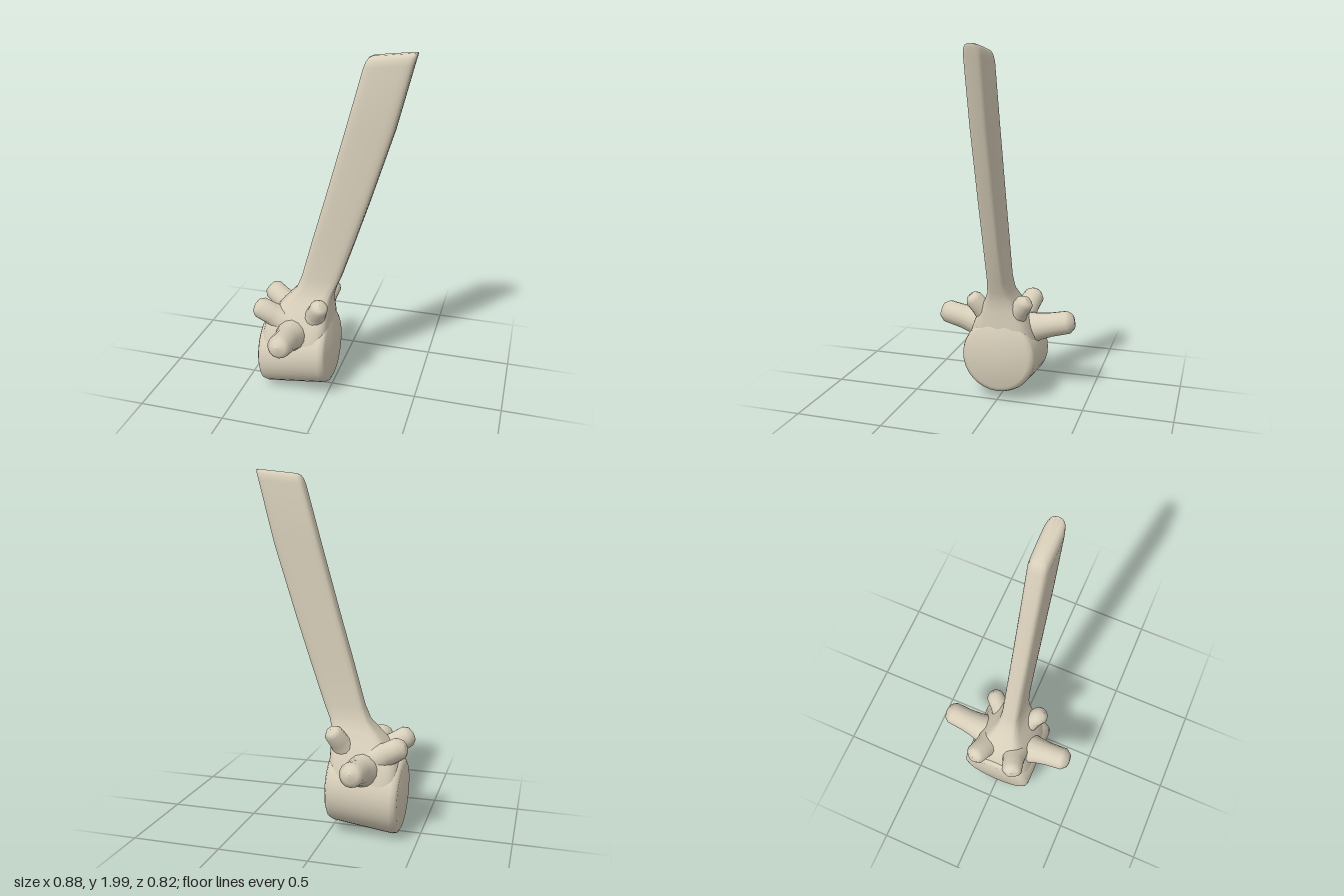
import * as THREE from 'three';
import { mergeVertices, toCreasedNormals } from 'three/addons/utils/BufferGeometryUtils.js';

const bone = new THREE.MeshStandardMaterial({ color: 0xd8cfba });
bone.name = 'bone';

// Stack of rounded-rectangle sections: [y at left, x left, x right, half depth, y rise to the right]
function loft(sections, sides = 32) {
  const pos = [], index = [];
  const soft = (v) => Math.sign(v) * Math.pow(Math.abs(v), 0.42);
  for (const [y, x0, x1, d, rise] of sections) {
    for (let j = 0; j < sides; j++) {
      const a = (j / sides) * Math.PI * 2;
      const u = soft(Math.cos(a));
      pos.push((x0 + x1) / 2 + u * (x1 - x0) / 2, y + rise * (u + 1) / 2, d * soft(Math.sin(a)));
    }
  }
  for (let i = 0; i < sections.length - 1; i++) {
    for (let j = 0; j < sides; j++) {
      const a = i * sides + j, b = i * sides + (j + 1) % sides;
      index.push(a, a + sides, b, b, a + sides, b + sides);
    }
  }
  // Top cap
  const [y, x0, x1, , rise] = sections.at(-1);
  const top = (sections.length - 1) * sides, c = pos.length / 3;
  pos.push((x0 + x1) / 2, y + rise / 2, 0);
  for (let j = 0; j < sides; j++) index.push(c, top + (j + 1) % sides, top + j);
  const g = new THREE.BufferGeometry();
  g.setAttribute('position', new THREE.Float32BufferAttribute(pos, 3));
  g.setIndex(index);
  return toCreasedNormals(g, 0.8);
}

// Blunt rounded knob running from a to b, flared at its root
function knob(name, a, b, r) {
  const from = new THREE.Vector3(...a), dir = new THREE.Vector3(...b).sub(from);
  const L = dir.length();
  const profile = [[r * 1.5, 0], [r * 1.12, L * 0.35], [r, L * 0.55], [r * 0.95, L - r * 0.55],
    [r * 0.62, L - r * 0.14], [0, L]].map(([x, y]) => new THREE.Vector2(x, y));
  const mesh = new THREE.Mesh(new THREE.LatheGeometry(profile, 14), bone);
  mesh.position.copy(from);
  mesh.quaternion.setFromUnitVectors(new THREE.Vector3(0, 1, 0), dir.normalize());
  mesh.name = name;
  return mesh;
}

export function createModel() {
  const group = new THREE.Group();
  group.name = 'clubModel';

  // Horizontal drum, sheared so that its underside rises to the right
  const R = 0.214;
  const profile = [[0, -0.203], [R - 0.03, -0.201], [R - 0.008, -0.19], [R, -0.165],
    [R, 0.165], [R - 0.008, 0.19], [R - 0.03, 0.201], [0, 0.203]]
    .map(([x, y]) => new THREE.Vector2(x, y));
  let drum = new THREE.LatheGeometry(profile, 32);
  drum.rotateZ(-Math.PI / 2);
  const p = drum.attributes.position;
  for (let i = 0; i < p.count; i++) {
    const x = p.getX(i), y = p.getY(i);
    p.setXYZ(i, x - 0.195 - 0.03 * y, y + 0.13 * x + 0.245, p.getZ(i));
  }
  drum.deleteAttribute('normal');
  drum.deleteAttribute('uv');
  drum = toCreasedNormals(mergeVertices(drum), 0.9);
  const drumMesh = new THREE.Mesh(drum, bone);
  drumMesh.name = 'drumHead';
  group.add(drumMesh);

  // Shoulders flowing up into the long leaning blade
  const shaft = new THREE.Mesh(loft([
    [0.26, -0.392, 0.0, 0.2, 0.02],
    [0.36, -0.392, 0.0, 0.188, 0.02],
    [0.44, -0.375, 0.002, 0.155, 0.03],
    [0.51, -0.32, 0.0, 0.12, 0.03],
    [0.58, -0.26, 0.005, 0.085, 0.02],
    [0.64, -0.205, 0.02, 0.063, 0.01],
    [0.72, -0.172, 0.05, 0.054, 0],
    [0.95, -0.108, 0.128, 0.053, 0],
    [1.2, -0.035, 0.21, 0.053, 0],
    [1.6, 0.078, 0.335, 0.053, 0],
    [1.915, 0.165, 0.422, 0.053, 0.03],
    [1.945, 0.177, 0.432, 0.048, 0.035],
    [1.965, 0.19, 0.435, 0.038, 0.03],
    [1.975, 0.21, 0.434, 0.022, 0.025],
  ]), bone);
  shaft.name = 'bladeHandle';
  group.add(shaft);

  // Knobs mirrored front and back
  for (const [s, side] of [[1, 'front'], [-1, 'back']]) {
    group.add(
      knob(side + 'Knob', [-0.2, 0.385, s * 0.1], [-0.195, 0.46, s * 0.408], 0.07),
      knob(side + 'RightCornerKnob', [-0.23, 0.425, s * 0.07], [-0.425, 0.55, s * 0.125], 0.064),
      knob(side + 'LeftCornerKnob', [-0.095, 0.46, s * 0.06], [-0.025, 0.618, s * 0.165], 0.054),
    );
  }
  return group;
}
